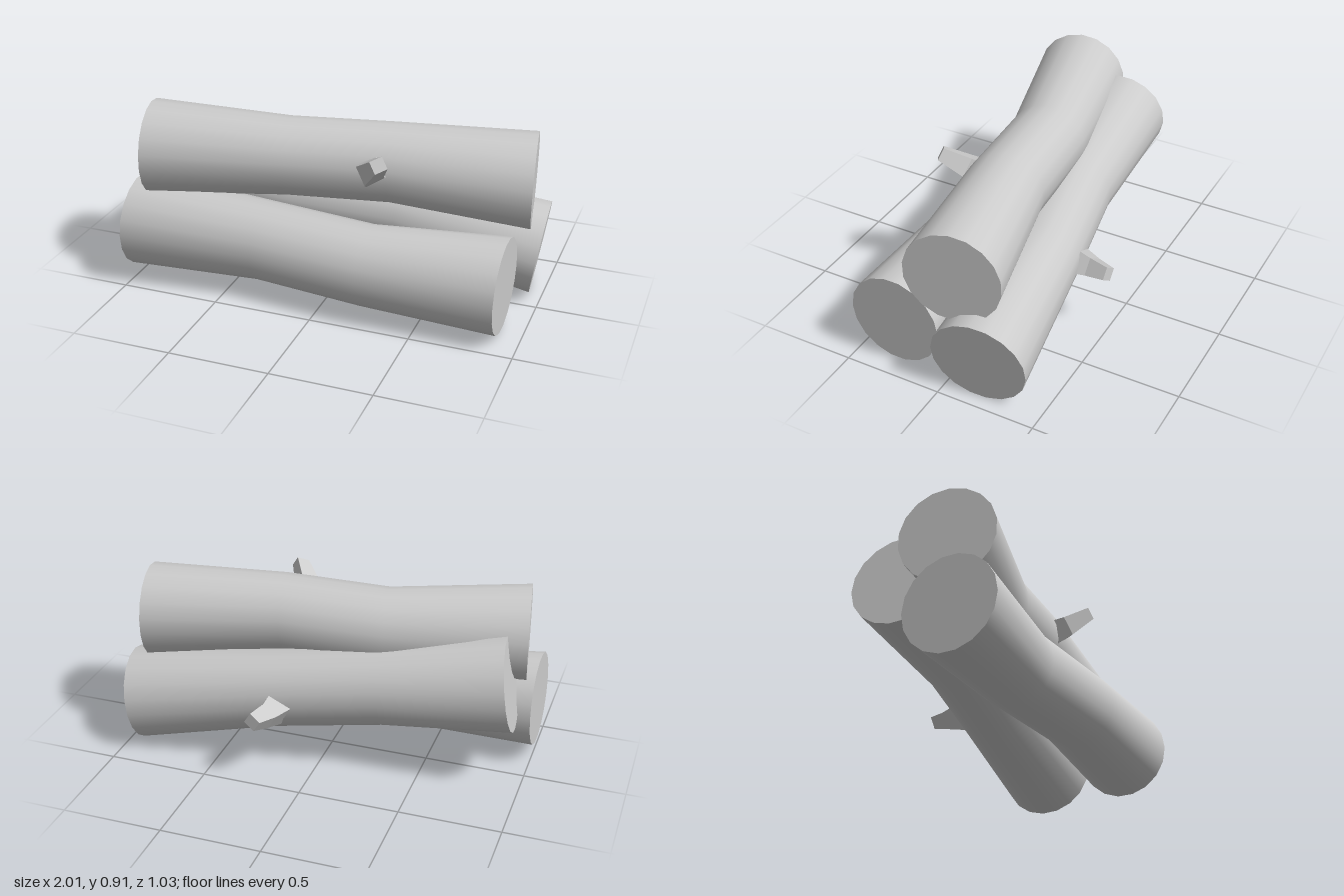
import * as THREE from 'three';

const grey = new THREE.MeshStandardMaterial({ color: 0xcccccc });
const greyFlat = new THREE.MeshStandardMaterial({ color: 0xcccccc, flatShading: true });

// Capped limb through rings [x, y, z, radius]; all rings are square to the line from end to end
function limb(name, rings, sides, material) {
  const centres = rings.map(([x, y, z]) => new THREE.Vector3(x, y, z));
  const axis = centres[centres.length - 1].clone().sub(centres[0]).normalize();
  const turn = new THREE.Quaternion().setFromUnitVectors(new THREE.Vector3(0, 1, 0), axis);
  const geometry = new THREE.CylinderGeometry(1, 1, 1, sides, rings.length - 1);
  const { position, normal } = geometry.attributes;
  const v = new THREE.Vector3();
  for (let i = 0; i < position.count; i++) {
    v.fromBufferAttribute(position, i);
    const k = Math.round((v.y + 0.5) * (rings.length - 1));
    v.setY(0).multiplyScalar(rings[k][3]).applyQuaternion(turn).add(centres[k]);
    position.setXYZ(i, v.x, v.y, v.z);
    v.fromBufferAttribute(normal, i).applyQuaternion(turn);
    normal.setXYZ(i, v.x, v.y, v.z);
  }
  const mesh = new THREE.Mesh(geometry, material);
  mesh.name = name;
  return mesh;
}

const log = (name, rings) => limb(name, rings, 18, grey);
const stub = (name, rings) => limb(name, rings, 4, greyFlat);

export function createModel() {
  const model = new THREE.Group();
  model.name = 'logPile';

  // Three logs, each narrowing towards the middle
  model.add(
    log('frontLog', [
      [-1, 0.295, 0.285, 0.236], [-0.33, 0.27, 0.26, 0.2],
      [0.23, 0.258, 0.313, 0.2], [0.9, 0.255, 0.285, 0.236],
    ]),
    log('backLog', [
      [-0.91, 0.53, -0.03, 0.236], [-0.27, 0.425, -0.065, 0.197],
      [0.25, 0.365, -0.15, 0.197], [0.963, 0.24, -0.2, 0.236],
    ]),
    log('topLog', [
      [-0.935, 0.682, 0.232, 0.236], [-0.26, 0.67, 0.09, 0.197],
      [0.26, 0.692, 0.042, 0.197], [0.94, 0.655, -0.067, 0.236],
    ]),
  );

  // Broken-off branch stubs, tapered and bent
  model.add(
    stub('topLogBranch', [
      [0.2, 0.68, 0.12, 0.1], [0.225, 0.73, 0.275, 0.07], [0.3, 0.815, 0.373, 0.045],
    ]),
    stub('backLogBranch', [
      [0.18, 0.34, -0.24, 0.11], [0.205, 0.342, -0.4, 0.063], [0.235, 0.357, -0.5, 0.045],
    ]),
  );
  return model;
}
